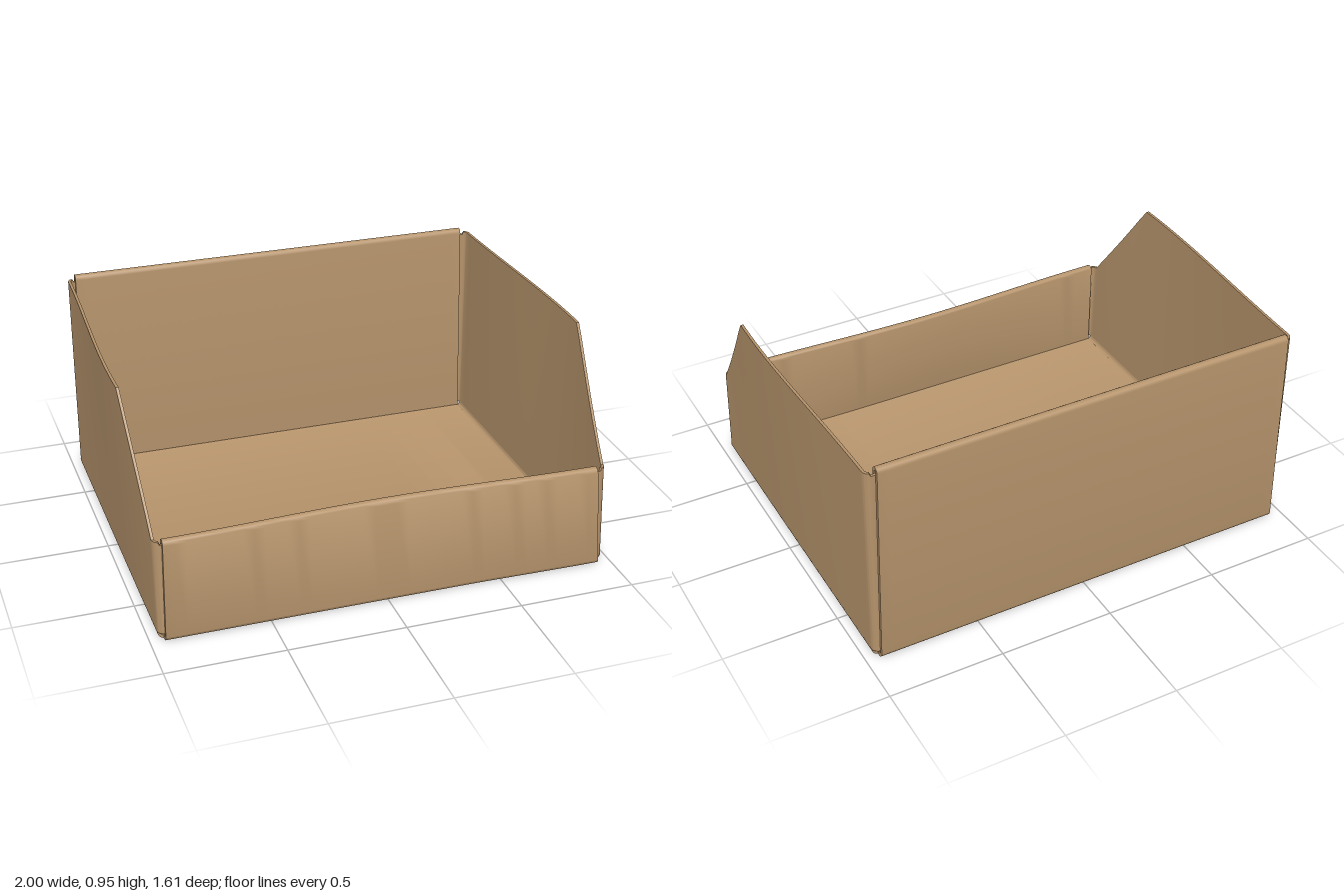
import * as THREE from 'three';
import { toCreasedNormals } from 'three/addons/utils/BufferGeometryUtils.js';

const T = 0.014; // board thickness
const clamp01 = (v) => Math.min(1, Math.max(0, v));

// Points of an arc [a, b] around (cx, cy), angles in degrees
function arc(cx, cy, r, from, to, n = 8) {
  return Array.from({ length: n + 1 }, (_, i) => {
    const a = THREE.MathUtils.degToRad(from + ((to - from) * i) / n);
    return [cx + r * Math.cos(a), cy + r * Math.sin(a)];
  });
}

// Unit normal of a 2D path at point i
function normalAt(path, i) {
  const p = path[Math.max(0, i - 1)], q = path[Math.min(path.length - 1, i + 1)];
  const dx = q[0] - p[0], dy = q[1] - p[1], l = Math.hypot(dx, dy);
  return [-dy / l, dx / l];
}

// Closed outline of a path thickened on both sides
function thicken(path, t) {
  const side = (k) => path.map((p, i) => {
    const n = normalAt(path, i);
    return [p[0] + n[0] * k, p[1] + n[1] * k];
  });
  return [...side(t / 2), ...side(-t / 2).reverse()];
}

// Solid through a row of equal closed sections, each point moved by warp
function loft(sections, warp) {
  const n = sections[0].length, m = sections.length;
  const pos = sections.flat().flatMap((p) => warp(...p));
  const idx = [];
  const quad = (a, b, c, d) => idx.push(a, b, c, a, c, d);
  for (let j = 0; j < m - 1; j++)
    for (let i = 0; i < n; i++) {
      const k = (i + 1) % n;
      quad(j * n + i, j * n + k, (j + 1) * n + k, (j + 1) * n + i);
    }
  const e = (m - 1) * n;
  for (let i = 0; i < n / 2 - 1; i++) {
    quad(i, n - 1 - i, n - 2 - i, i + 1);
    quad(e + i, e + i + 1, e + n - 2 - i, e + n - 1 - i);
  }
  // Turn the faces outward if the loop runs the other way
  const v = (i) => new THREE.Vector3().fromArray(pos, i * 3);
  let volume = 0;
  for (let i = 0; i < idx.length; i += 3) volume += v(idx[i]).dot(v(idx[i + 1]).cross(v(idx[i + 2])));
  if (volume < 0) idx.reverse();
  const g = new THREE.BufferGeometry();
  g.setAttribute('position', new THREE.Float32BufferAttribute(pos, 3));
  g.setIndex(idx);
  return toCreasedNormals(g, 0.7);
}

// Front wall leans back, bows inward at mid-width and kicks out at one lower corner
function warpFront(x, y, z) {
  const w = clamp01((z - 0.4) / 0.37), h = clamp01(y / 0.45);
  const bow = Math.cos(clamp01(Math.abs(x) / 0.95) * Math.PI / 2) ** 2;
  const kick = THREE.MathUtils.smoothstep(x, 0.3, 0.95) * (1 - h);
  const near = clamp01((z - 0.7) / 0.06);
  return [x, y, z - 0.045 * y * w - 0.03 * h * bow * near + 0.01 * kick * near];
}

export function createModel() {
  const group = new THREE.Group();
  const material = new THREE.MeshStandardMaterial({ color: 0xb5936b });
  const add = (name, geometry) => {
    const mesh = new THREE.Mesh(geometry, material);
    mesh.name = name;
    group.add(mesh);
  };

  // Floor with the front and back walls folded double, one strip in (z, y)
  const strip = [
    [0.767, 0.018],
    ...arc(0.78, 0.43, 0.013, 180, 0),
    ...arc(0.773, 0.027, 0.02, 0, -90),
    ...arc(-0.773, 0.027, 0.02, 270, 180),
    ...arc(-0.78, 0.93, 0.013, 180, 0),
    [-0.767, 0.018],
  ];
  const outline = thicken(strip, T);
  const columns = Array.from({ length: 41 }, (_, i) => -0.94 + (1.88 * i) / 40);
  add('floorFrontAndBackWalls', loft(
    columns.map((x) => outline.map(([z, y]) => [x, y, z])),
    (x, y, z) => warpFront(x * (1 - 0.015 * clamp01(y / 0.45)) - 0.005 * clamp01(y / 0.45), y, z),
  ));

  // Side wall in plan (x, z): back flap, corner, wall, corner, front flap
  const wallZ = Array.from({ length: 25 }, (_, i) => -0.72 + (1.09 * i) / 24);
  for (let i = 1; i <= 8; i++) wallZ.push(0.37 + (0.37 * i) / 8);
  const plan = [
    [0.45, -0.78],
    [0.7, -0.78],
    ...arc(0.934, -0.755, 0.025, -90, 0),
    ...wallZ.map((z) => [0.959, z]),
    ...arc(0.934, 0.755, 0.025, 0, 90),
    [0.7, 0.78],
    [0.45, 0.78],
  ];
  const topOf = (x, z) => {
    const top = z < 0.37 ? 0.93 : THREE.MathUtils.lerp(0.93, 0.44, clamp01((z - 0.37) / 0.385));
    return x < 0.94 ? top - 0.012 : top;
  };
  const wallSections = plan.map(([x, z], i) => {
    const [nx, nz] = normalAt(plan, i), k = 0.006, top = topOf(x, z);
    const edge = (y, s) => [x + nx * k * s, y, z + nz * k * s];
    return [edge(0.032, 1), edge(top, 1), edge(top, -1), edge(0.032, -1)];
  });

  // Rounded bend joining the floor to the side wall
  const bend = thicken([[0.915, 0.007], ...arc(0.934, 0.032, 0.025, -90, 0)], 0.012);
  const bendSections = Array.from({ length: 17 }, (_, i) => -0.765 + (1.53 * i) / 16)
    .map((z) => bend.map(([x, y]) => [x, y, z]));

  for (const [side, s] of [['left', 1], ['right', -1]]) {
    // Walls flare outward towards the top, most ahead of the middle
    const flare = (x, y, z) => {
      const u = clamp01((z + 0.78) / 1.56);
      const out = 0.035 * (y / 0.93) * Math.sin(Math.PI * u ** 1.5);
      return warpFront(s * (x + out), y, z);
    };
    add(side + 'SideWall', loft(wallSections, flare));
    add(side + 'BottomBend', loft(bendSections, flare));
  }
  return group;
}
